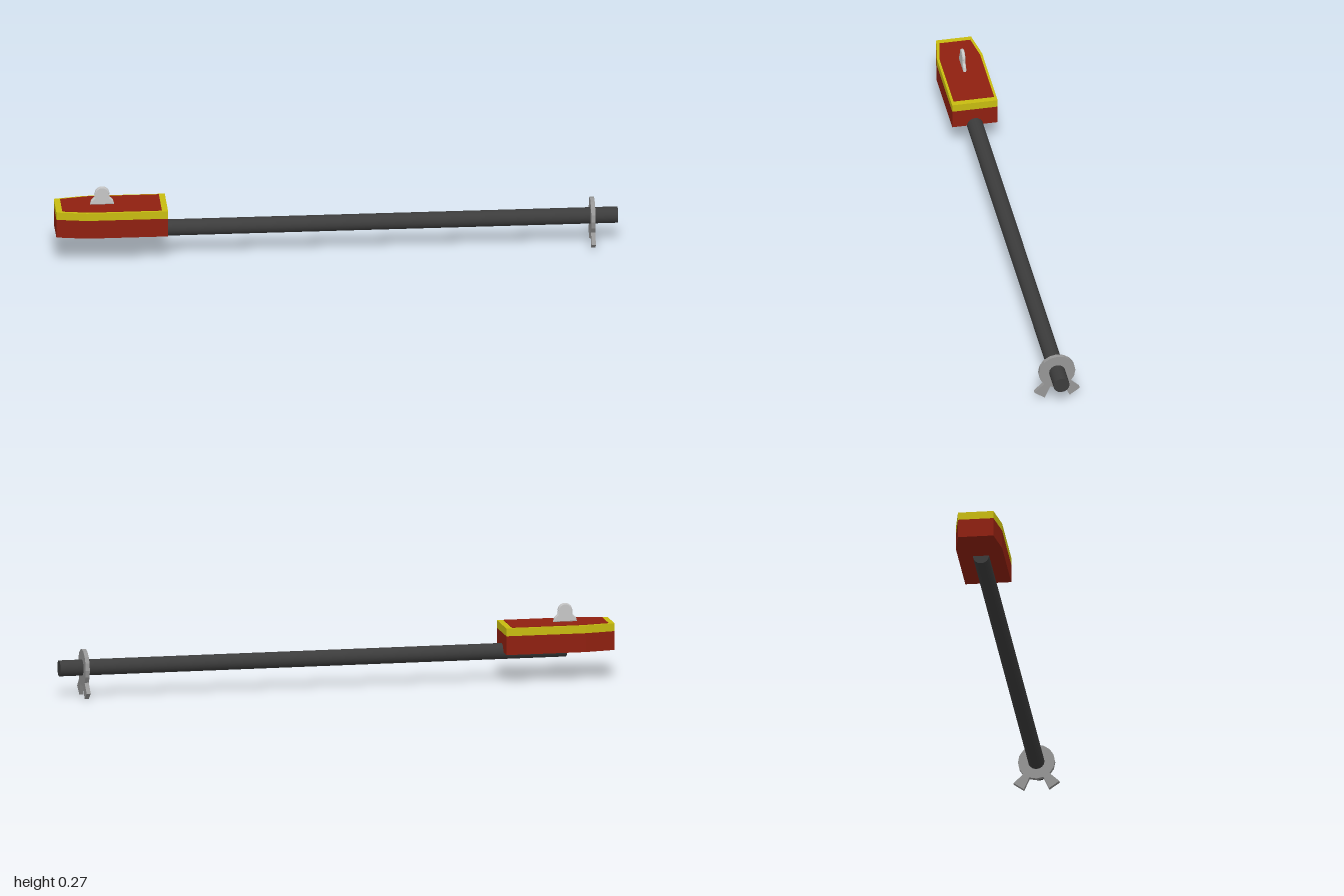
import * as THREE from 'three';

const material = (name, color) => {
  const m = new THREE.MeshStandardMaterial({ color });
  m.name = name;
  return m;
};

export function createModel() {
  const red = material('red', 0x8f2010);
  const yellow = material('yellow', 0xc8bc10);
  const black = material('black', 0x3c3c3c);
  const grey = material('grey', 0x969696);
  const silver = material('silver', 0xc6c6c6);

  const model = new THREE.Group();
  model.name = 'model';
  const add = (name, geometry, mat) => {
    const mesh = new THREE.Mesh(geometry, mat);
    mesh.name = name;
    model.add(mesh);
    return mesh;
  };
  const polygon = (points) => new THREE.Shape(points.map(([x, y]) => new THREE.Vector2(x, y)));

  // Head: tapered block with a yellow rim and a red top panel
  const outline = [
    [-0.198, -0.063], [-0.09, -0.082], [0.198, -0.082],
    [0.198, 0.082], [-0.09, 0.082], [-0.198, 0.063],
  ];
  const slab = (name, scale, bottom, top, mat) => {
    const shape = polygon(outline.map(([x, y]) => [x * scale, y * scale]));
    const geometry = new THREE.ExtrudeGeometry(shape, { depth: top - bottom, bevelEnabled: false });
    geometry.rotateX(-Math.PI / 2);
    geometry.translate(-0.802, bottom, 0);
    add(name, geometry, mat);
  };
  slab('headBody', 1, 0.108, 0.176, red);
  slab('headRim', 1, 0.176, 0.204, yellow);
  slab('headTopPanel', 0.89, 0.2, 0.206, red);

  // Thin rounded fin on top of the head
  const fin = new THREE.Shape();
  fin.moveTo(-0.043, 0);
  fin.lineTo(0.043, 0);
  fin.lineTo(0.039, 0.016);
  fin.lineTo(0.027, 0.028);
  fin.lineTo(0.025, 0.04);
  fin.absarc(0, 0.041, 0.026, 0, Math.PI, false);
  fin.lineTo(-0.027, 0.028);
  fin.lineTo(-0.039, 0.016);
  fin.closePath();
  const finGeometry = new THREE.ExtrudeGeometry(fin, {
    depth: 0.008, curveSegments: 8,
    bevelThickness: 0.002, bevelSize: 0.004, bevelOffset: -0.004, bevelSegments: 1,
  });
  finGeometry.translate(-0.833, 0.205, -0.004);
  add('topFin', finGeometry, silver);

  // Long shaft, half sunk into the underside of the head
  const shaft = new THREE.CylinderGeometry(0.029, 0.029, 1.835, 16);
  shaft.rotateZ(-Math.PI / 2);
  shaft.translate(0.0825, 0.108, 0);
  add('shaft', shaft, black);

  // Sixteen-sided collar with two splayed feet growing out of its rim
  const rim = (radius, i) => {
    const a = -Math.PI / 2 + (i * Math.PI) / 8;
    return [radius * Math.cos(a), radius * Math.sin(a)];
  };
  const points = [];
  for (let i = 0; i < 16; i++) {
    points.push(rim(0.066, i));
    if (i === 1) points.push([0.045, -0.106], [0.082, -0.08]);
    if (i === 14) points.push([-0.082, -0.08], [-0.045, -0.106]);
  }
  const collarShape = polygon(points);
  const bore = Array.from({ length: 16 }, (_, i) => new THREE.Vector2(...rim(0.0285, 15 - i)));
  collarShape.holes.push(new THREE.Path(bore));
  const collar = new THREE.ExtrudeGeometry(collarShape, { depth: 0.015, bevelEnabled: false });
  collar.rotateY(Math.PI / 2);
  collar.translate(0.902, 0.108, 0);
  add('footedCollar', collar, grey);

  return model;
}
